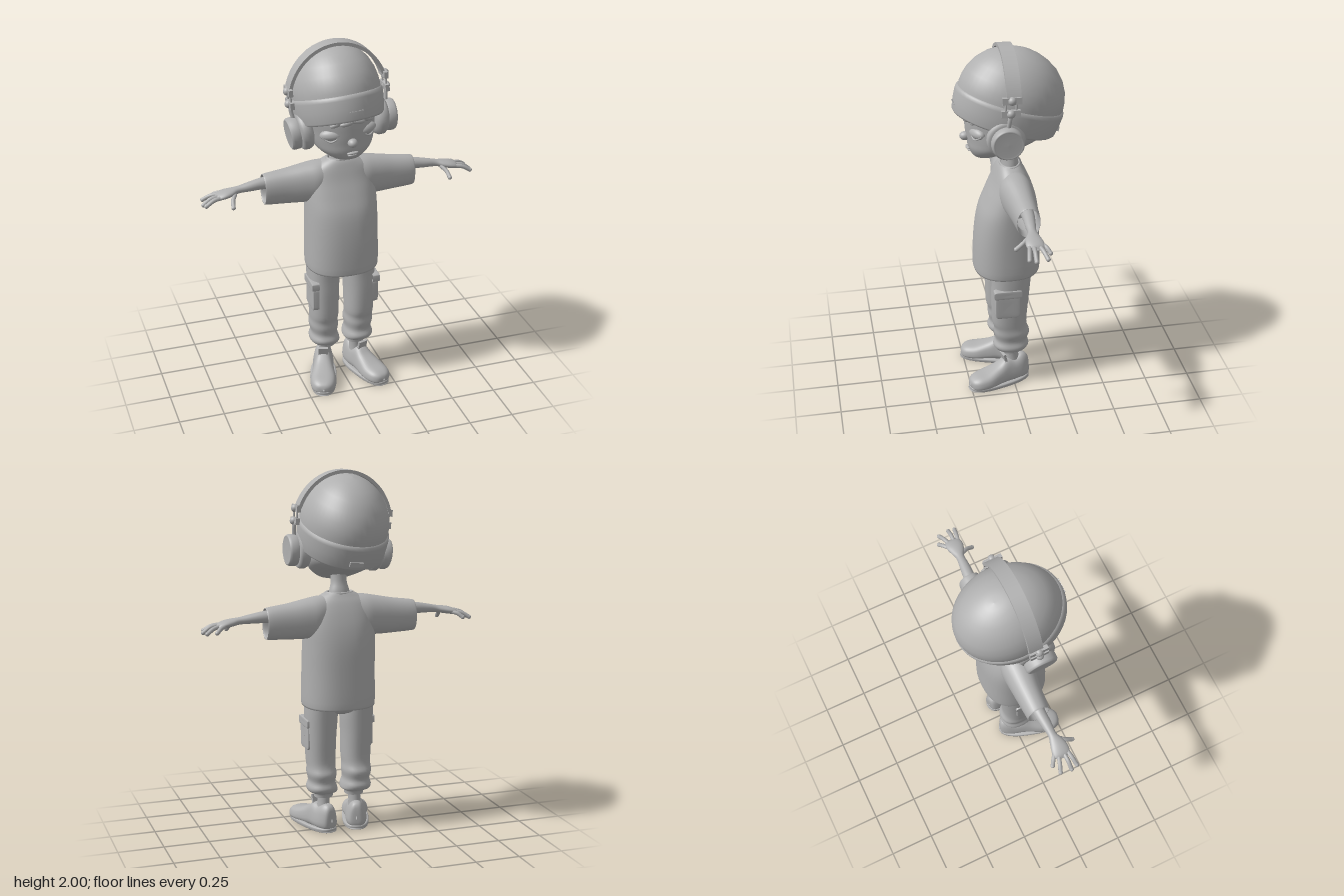
import * as THREE from 'three';

const grey = new THREE.MeshStandardMaterial({ color: 0xb0b0b0, side: THREE.DoubleSide });
grey.name = 'clay grey';

// Rows are [t, u, v, ru, rv]: rounded sections along an axis, smoothly joined.
// axis y: u=x v=z, axis x: u=y v=z, axis z: u=x v=y. p is the squareness.
function loft(axis, rows, p = 2, seg = 32, sub = 4) {
  const pos = [], idx = [], rings = [];
  for (let i = 0; i < rows.length - 1; i++) {
    const [a, b, c, d] = [-1, 0, 1, 2].map(k => rows[Math.min(Math.max(i + k, 0), rows.length - 1)]);
    for (let s = 0; s < sub + (i === rows.length - 2 ? 1 : 0); s++) {
      const t = s / sub;
      rings.push(b.map((_, k) => 0.5 * (2 * b[k] + (c[k] - a[k]) * t
        + (2 * a[k] - 5 * b[k] + 4 * c[k] - d[k]) * t * t + (3 * b[k] - a[k] - 3 * c[k] + d[k]) * t * t * t)));
    }
  }
  const pw = x => Math.sign(x) * Math.pow(Math.abs(x), 2 / p);
  rings.forEach(([t, u0, v0, ru, rv], i) => {
    for (let j = 0; j < seg; j++) {
      const a = j / seg * Math.PI * 2;
      const u = u0 + ru * pw(Math.cos(a)), v = v0 + rv * pw(Math.sin(a));
      pos.push(...(axis === 'y' ? [u, t, v] : axis === 'x' ? [t, u, v] : [u, v, t]));
      if (i === rings.length - 1) continue;
      const A = i * seg + j, B = i * seg + (j + 1) % seg, C = A + seg, D = B + seg;
      idx.push(...(axis === 'y' ? [A, C, B, B, C, D] : [A, B, C, B, D, C]));
    }
  });
  const g = new THREE.BufferGeometry();
  g.setAttribute('position', new THREE.Float32BufferAttribute(pos, 3));
  g.setIndex(idx);
  g.computeVertexNormals();
  return g;
}

function add(parent, name, geo) {
  const m = new THREE.Mesh(geo, grey);
  m.name = name;
  parent.add(m);
  return m;
}

// Adds a part on the left (+x) and its mirror image on the right
function pair(parent, name, geo) {
  const g = geo.clone().scale(-1, 1, 1);
  const ix = g.index.array;
  for (let i = 0; i < ix.length; i += 3) [ix[i], ix[i + 1]] = [ix[i + 1], ix[i]];
  add(parent, name + 'Left', geo);
  add(parent, name + 'Right', g);
}

const ball = (x, y, z, rx, ry = rx, rz = rx) =>
  new THREE.SphereGeometry(1, 24, 16).scale(rx, ry, rz).translate(x, y, z);
const box = (x, y, z, w, h, d) => new THREE.BoxGeometry(w, h, d).translate(x, y, z);
const tube = (pts, r) => new THREE.TubeGeometry(
  new THREE.CatmullRomCurve3(pts.map(q => new THREE.Vector3(...q))), 16, r, 10);
const lathe = pts => new THREE.LatheGeometry(pts.map(q => new THREE.Vector2(...q)), 48);

function buildHead() {
  const pivot = new THREE.Group(), h = new THREE.Group();
  pivot.name = 'head';
  pivot.position.y = 1.42;
  pivot.rotation.z = 0.08;
  h.position.y = -1.42;
  pivot.add(h);

  // Face and skull
  add(h, 'face', loft('y', [
    [1.395, 0, 0.14, 0.004, 0.004], [1.405, 0, 0.135, 0.07, 0.06], [1.45, 0, 0.085, 0.14, 0.137],
    [1.5, 0, 0.03, 0.174, 0.2], [1.56, 0, 0.01, 0.187, 0.228], [1.65, 0, 0.005, 0.2, 0.235],
    [1.75, 0, 0, 0.19, 0.21]]));
  add(h, 'nose', ball(0, 1.515, 0.238, 0.026, 0.024, 0.03));
  add(h, 'upperLip', ball(0, 1.452, 0.224, 0.032, 0.008, 0.013));
  add(h, 'lowerLip', ball(0, 1.437, 0.215, 0.026, 0.008, 0.012));
  const turned = g => g.rotateY(0.42).translate(0.098, 1.56, 0.187);
  pair(h, 'eyeball', turned(ball(0, -0.005, 0, 0.052, 0.028, 0.024)));
  pair(h, 'upperLid', turned(new THREE.SphereGeometry(1, 24, 10, 0, Math.PI * 2, 0, Math.PI / 2)
    .scale(0.06, 0.034, 0.032).translate(0, -0.003, 0)));
  pair(h, 'lowerLid', turned(tube([[-0.052, -0.008, 0.008], [0, -0.034, 0.018], [0.052, -0.008, 0.006]], 0.005)));

  // Fringe under the hat
  [[-0.07, 0.3], [-0.02, 0.15], [0.035, -0.2], [0.085, -0.35]].forEach(([x, r], i) =>
    add(h, 'fringe' + i, ball(0, 0, 0, 0.042, 0.017, 0.02).rotateZ(r).translate(x, 1.632, 0.242 - x * x * 4)));

  // Beanie with turned-up brim, leaning back
  const hat = new THREE.Group();
  hat.name = 'beanie';
  hat.position.set(0, 1.59, 0.03);
  hat.rotation.x = -0.31;
  h.add(hat);
  add(hat, 'beanieDome', lathe([[0.285, 0.1], [0.288, 0.14], [0.283, 0.18], [0.27, 0.226], [0.24, 0.28],
    [0.193, 0.33], [0.14, 0.363], [0.09, 0.383], [0.045, 0.394], [0, 0.398]]).scale(0.82, 1, 1));
  add(hat, 'beanieBrim', lathe([[0.2, 0.03], [0.262, -0.01], [0.274, -0.016], [0.284, -0.006], [0.294, 0.05],
    [0.298, 0.1], [0.296, 0.118], [0.284, 0.125]]).scale(0.82, 1, 1));
  for (let i = 0; i < 5; i++) add(hat, 'stitch' + i, box(-0.02 + i * 0.017, 0.035, 0.292, 0.011, 0.004, 0.006));
  add(hat, 'backTag', box(0, 0.025, -0.292, 0.075, 0.025, 0.012));

  // Headphones: band, clamps, rods and cups
  const s = new THREE.Shape();
  s.absellipse(0, 1.70, 0.275, 0.3, 0.3, Math.PI - 0.3, false);
  s.absellipse(0, 1.70, 0.257, 0.282, Math.PI - 0.3, 0.3, true);
  s.closePath();
  add(h, 'headband', new THREE.ExtrudeGeometry(s, { depth: 0.075, bevelEnabled: false, curveSegments: 40 })
    .translate(0, 0, -0.02));
  for (const [y, z] of [[1.78, 0.03], [1.712, 0.037]]) {
    pair(h, 'clamp', box(0.26, y, z, 0.022, 0.036, 0.1));
    pair(h, 'knob', ball(0.267, y, z, 0.022));
  }
  for (const z of [0.005, 0.06]) pair(h, 'rod', tube([[0.261, 1.79, z], [0.26, 1.7, z + 0.005]], 0.006));
  pair(h, 'yoke', tube([[0.26, 1.71, 0.037], [0.262, 1.68, 0.042], [0.255, 1.63, 0.05]], 0.011));
  const cup = g => g.rotateZ(-Math.PI / 2 - 0.08).translate(0.17, 1.56, 0.055);
  pair(h, 'earCushion', cup(lathe([[0, 0], [0.07, 0], [0.092, 0.01], [0.102, 0.03], [0.1, 0.055], [0.088, 0.07], [0, 0.072]])));
  pair(h, 'earCup', cup(lathe([[0.08, 0.065], [0.086, 0.08], [0.086, 0.108], [0.08, 0.119], [0.073, 0.122],
    [0.069, 0.117], [0, 0.119]])));
  return pivot;
}

export function createModel() {
  const model = new THREE.Group();
  model.name = 'figure';
  model.add(buildHead());
  add(model, 'neck', loft('y', [[1.28, 0, 0, 0.07, 0.055], [1.35, 0, 0, 0.056, 0.046],
    [1.41, 0, 0.01, 0.043, 0.041], [1.52, 0, 0.025, 0.05, 0.05]]));

  // Loose shirt
  add(model, 'shirtBody', loft('y', [
    [0.735, 0, 0.022, 0.185, 0.17], [0.722, 0, 0.022, 0.2, 0.183], [0.9, 0, 0.02, 0.199, 0.178],
    [1.05, 0, 0.012, 0.198, 0.164], [1.15, 0, 0, 0.196, 0.137], [1.23, 0, -0.006, 0.186, 0.107],
    [1.29, 0, -0.004, 0.16, 0.083], [1.325, 0, 0, 0.11, 0.065], [1.342, 0, 0, 0.078, 0.054]], 2.4, 40));
  add(model, 'collar', new THREE.TorusGeometry(1, 0.13, 10, 32).rotateX(Math.PI / 2)
    .scale(0.073, 0.07, 0.051).translate(0, 1.338, 0));
  pair(model, 'sleeve', loft('x', [
    [0.05, 1.23, -0.005, 0.1, 0.07], [0.13, 1.215, -0.01, 0.112, 0.09], [0.2, 1.208, -0.015, 0.108, 0.084],
    [0.3, 1.2, -0.02, 0.097, 0.072], [0.415, 1.195, -0.022, 0.086, 0.063], [0.41, 1.195, -0.022, 0.079, 0.056],
    [0.36, 1.197, -0.022, 0.078, 0.054]], 2.2));

  // Arms and hands
  pair(model, 'arm', loft('x', [
    [0.3, 1.236, -0.02, 0.04, 0.04], [0.42, 1.233, -0.02, 0.033, 0.033], [0.5, 1.226, -0.015, 0.026, 0.028],
    [0.56, 1.219, -0.012, 0.02, 0.023], [0.6, 1.212, -0.008, 0.021, 0.037], [0.64, 1.205, -0.008, 0.021, 0.047],
    [0.675, 1.197, -0.01, 0.016, 0.043], [0.69, 1.192, -0.01, 0.003, 0.02]]));
  const fingers = [
    ['thumb', [0.585, 1.205, 0.012], [0.605, 1.185, 0.045], [0.612, 1.16, 0.08]],
    ['indexFinger', [0.65, 1.2, 0.02], [0.705, 1.193, 0.03], [0.748, 1.17, 0.038]],
    ['middleFinger', [0.655, 1.2, 0.0], [0.715, 1.192, 0.003], [0.756, 1.163, 0.004]],
    ['ringFinger', [0.655, 1.2, -0.025], [0.71, 1.19, -0.042], [0.748, 1.167, -0.056]],
    ['littleFinger', [0.645, 1.2, -0.04], [0.675, 1.192, -0.062], [0.7, 1.172, -0.078]]];
  for (const [name, ...pts] of fingers) {
    pair(model, name, tube(pts, 0.0115));
    pair(model, name + 'Tip', ball(...pts[2], 0.0118));
  }

  // Cargo trousers
  add(model, 'hips', loft('y', [[0.67, 0, 0, 0.03, 0.06], [0.7, 0, 0.005, 0.15, 0.1],
    [0.8, 0, 0.008, 0.185, 0.12]], 2.3));
  pair(model, 'trouserLeg', loft('y', [
    [0.19, 0.09, 0.012, 0.052, 0.05], [0.215, 0.09, 0.012, 0.056, 0.056], [0.225, 0.095, 0.012, 0.08, 0.085],
    [0.25, 0.1, 0.012, 0.083, 0.1], [0.285, 0.1, 0.01, 0.073, 0.09], [0.33, 0.102, 0.008, 0.08, 0.1],
    [0.37, 0.103, 0.015, 0.077, 0.093], [0.42, 0.103, 0.022, 0.08, 0.097], [0.55, 0.104, 0.018, 0.084, 0.104],
    [0.66, 0.103, 0.012, 0.089, 0.108], [0.78, 0.103, 0.008, 0.088, 0.117]], 2.3));
  pair(model, 'pocket', loft('x', [[0.155, 0.54, 0.042, 0.072, 0.072], [0.182, 0.54, 0.042, 0.072, 0.07],
    [0.19, 0.54, 0.042, 0.064, 0.062], [0.19, 0.54, 0.042, 0.001, 0.001]], 7));
  pair(model, 'pocketFlap', loft('x', [[0.155, 0.62, 0.042, 0.024, 0.078], [0.191, 0.62, 0.042, 0.024, 0.077],
    [0.197, 0.62, 0.042, 0.019, 0.071], [0.197, 0.62, 0.042, 0.001, 0.001]], 7));

  // Ankles and toed-out shoes
  pair(model, 'ankle', loft('y', [[0.08, 0.095, 0, 0.042, 0.05], [0.15, 0.092, 0.003, 0.034, 0.038],
    [0.23, 0.09, 0.01, 0.036, 0.036]]));
  const place = g => g.rotateY(0.3).translate(0.1, 0.01, 0);
  const upper = loft('z', [
    [-0.092, 0, 0.06, 0.004, 0.01], [-0.086, 0, 0.07, 0.04, 0.06], [-0.05, 0, 0.075, 0.06, 0.075],
    [0, 0, 0.066, 0.064, 0.066], [0.05, 0, 0.07, 0.064, 0.07], [0.1, 0, 0.055, 0.068, 0.055],
    [0.17, 0, 0.042, 0.076, 0.042], [0.23, 0, 0.036, 0.066, 0.036], [0.262, 0, 0.03, 0.04, 0.026],
    [0.272, 0, 0.028, 0.004, 0.006]], 2.8);
  // Narrow the shoe towards its top
  const q = upper.attributes.position;
  for (let i = 0; i < q.count; i++) q.setX(i, q.getX(i) * (1.08 - 3 * q.getY(i)));
  upper.computeVertexNormals();
  pair(model, 'shoe', place(upper));
  pair(model, 'sole', place(loft('y', [[-0.009, 0, 0.09, 0.001, 0.001], [-0.009, 0, 0.09, 0.064, 0.17],
    [0.0, 0, 0.09, 0.075, 0.182], [0.014, 0, 0.09, 0.074, 0.182], [0.018, 0, 0.09, 0.06, 0.165]], 2.6)));
  pair(model, 'shoeTongue', place(box(0, 0, 0, 0.055, 0.06, 0.014).rotateX(0.25).translate(0, 0.15, 0.058)));
  return model;
}
